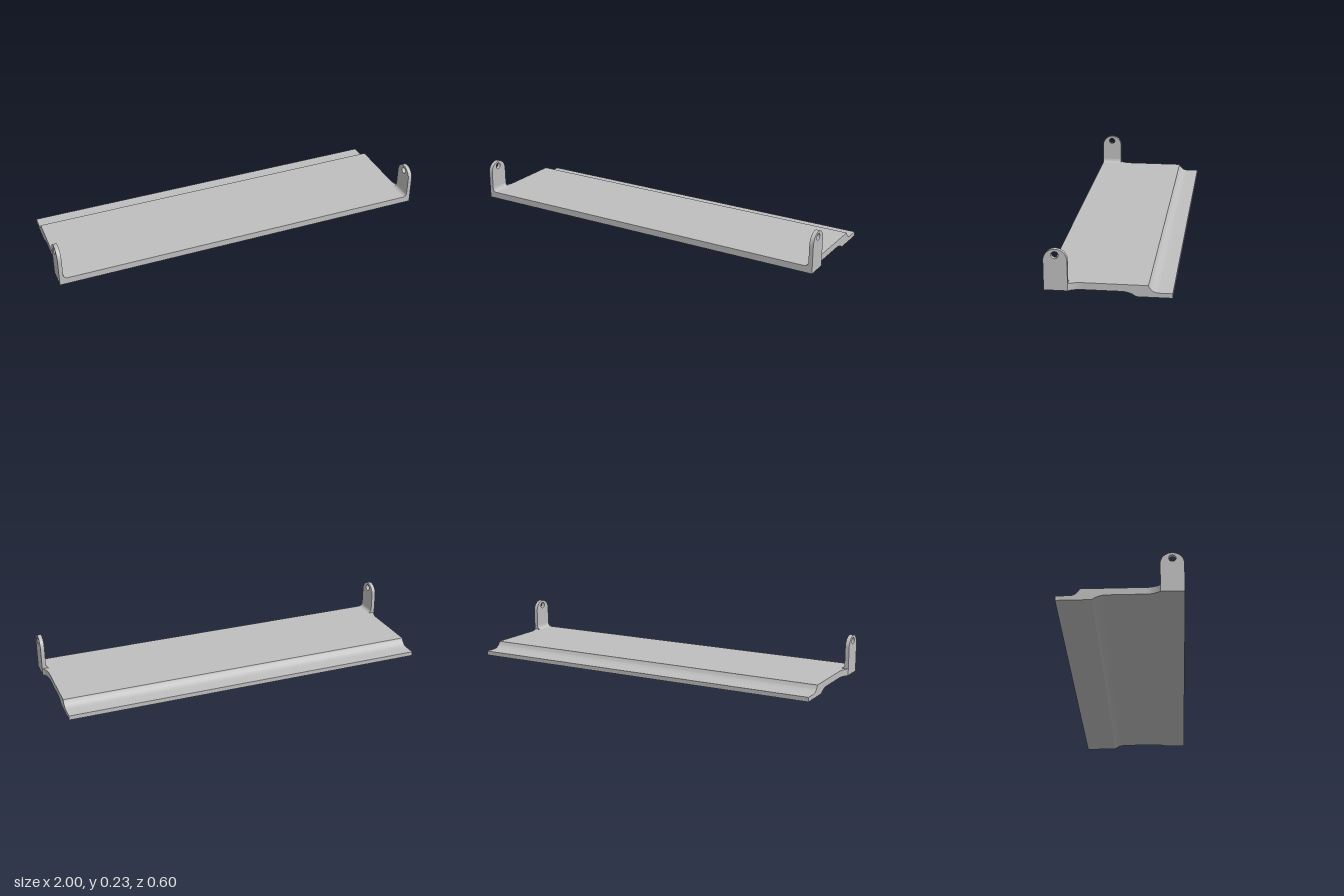
import * as THREE from 'three';
import { toCreasedNormals } from 'three/addons/utils/BufferGeometryUtils.js';

const HALF = 0.977;                 // half width of the panel
const TOP = 0.058, STEP = 0.023;    // top of the panel, level of its underside
const FRONT = 0.3, EAR_BACK = 0.187;

// Points along a circular arc
function arc(cx, cy, r, a0, a1, n = 14) {
  return Array.from({ length: n + 1 }, (_, i) => {
    const a = a0 + (a1 - a0) * i / n;
    return [cx + r * Math.cos(a), cy + r * Math.sin(a)];
  });
}

const shapeOf = (pts) => new THREE.Shape(pts.map(([x, y]) => new THREE.Vector2(x, y)));

function extrude(shape, depth) {
  return new THREE.ExtrudeGeometry(shape, { depth, bevelEnabled: false, curveSegments: 20 });
}

// Profile drawn in (z, y), swept across x from x0 to x1
function sweepX(shape, x0, x1) {
  return extrude(shape, x1 - x0).rotateY(-Math.PI / 2).translate(x1, 0, 0);
}

export function createModel() {
  const group = new THREE.Group();
  const grey = new THREE.MeshStandardMaterial({ color: 0xbfbfbf });
  grey.name = 'grey';

  const add = (name, geometry) => {
    const mesh = new THREE.Mesh(toCreasedNormals(geometry, 0.45), grey);
    mesh.name = name;
    group.add(mesh);
  };

  // Panel with a lowered rear lip, scooped above and below
  const rU = 0.109, rT = 0.0504;
  const panel = shapeOf([
    [FRONT, STEP], [FRONT, TOP],
    ...arc(-0.235, STEP + rT, rT, Math.atan2(TOP - STEP - rT, 0.048), -Math.PI / 2),
    [-0.3, STEP], [-0.3, 0],
    ...arc(-0.063, STEP - rU, rU, Math.atan2(rU - STEP, -0.067), Math.PI / 2),
  ]);
  add('panel', sweepX(panel, -HALF, HALF));

  // Rounded ear with a pivot hole
  const zc = (FRONT + EAR_BACK) / 2, r = (FRONT - EAR_BACK) / 2;
  const ear = shapeOf([
    [EAR_BACK, TOP], [FRONT, TOP],
    ...arc(zc, 0.227 - r, r, 0, Math.PI, 32),
  ]);
  ear.holes.push(new THREE.Path().absarc(zc + 0.001, 0.198, 0.0175, 0, Math.PI * 2, true));

  for (const s of [-1, 1]) {
    const side = s > 0 ? 'left' : 'right';
    add(side + 'Ear', sweepX(ear, s > 0 ? 0.979 : -1, s > 0 ? 1 : -0.979));

    // Foot of the ear, flaring out from the panel edge
    const rF = 0.095;
    const foot = shapeOf([
      [HALF, FRONT],
      ...arc(HALF + rF, 0.125, rF, Math.PI, Math.PI - Math.atan2(0.062, rF - 0.023)),
      [1, EAR_BACK], [1, FRONT],
    ].map(([x, z]) => [s * x, z]));
    add(side + 'Foot', extrude(foot, TOP - STEP).rotateX(Math.PI / 2).translate(0, TOP, 0));

    // Fillet in the inner corner between ear and panel
    const f = 0.022;
    const fillet = shapeOf([
      [0.979, TOP],
      ...arc(0.979 - f, TOP + f, f, 0, -Math.PI / 2, 10),
    ].map(([x, y]) => [s * x, y]));
    add(side + 'Fillet', extrude(fillet, FRONT - EAR_BACK).translate(0, 0, EAR_BACK));
  }
  return group;
}
